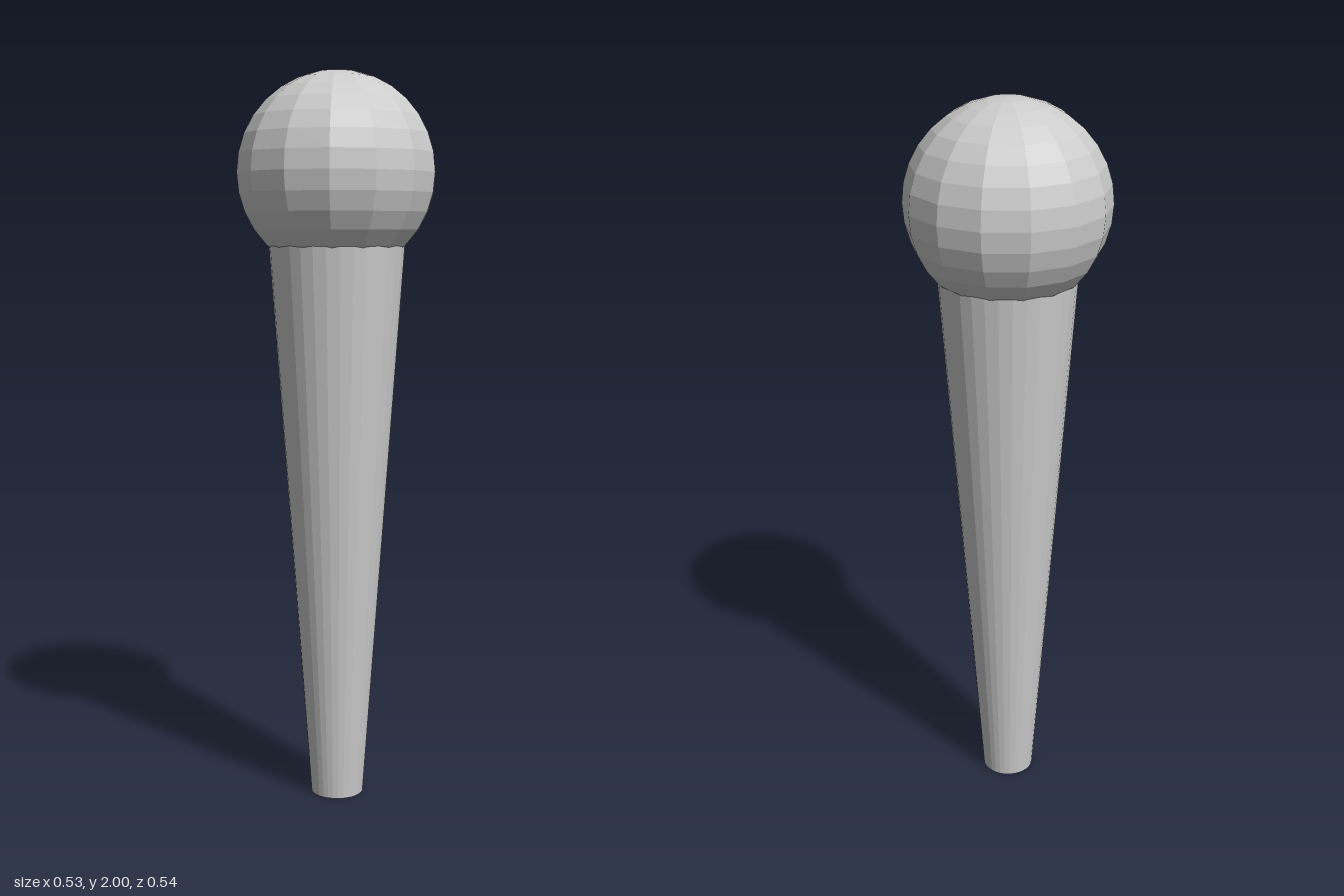
import * as THREE from 'three';

export function createModel() {
  const group = new THREE.Group();
  const material = new THREE.MeshStandardMaterial({ color: 0xcccccc, flatShading: true });

  function addPart(name, geometry, y) {
    const mesh = new THREE.Mesh(geometry, material);
    mesh.name = name;
    mesh.position.y = y;
    group.add(mesh);
  }

  // Tapered shaft, narrow at the foot, ending just inside the ball
  const shaftHeight = 1.55;
  addPart('shaft', new THREE.CylinderGeometry(0.185, 0.073, shaftHeight, 32), shaftHeight / 2);

  // Faceted ball on top, with a corner facing front and back
  const radius = 0.27;
  addPart('ball', new THREE.SphereGeometry(radius, 14, 16).rotateY(Math.PI / 2), 2 - radius);

  return group;
}
